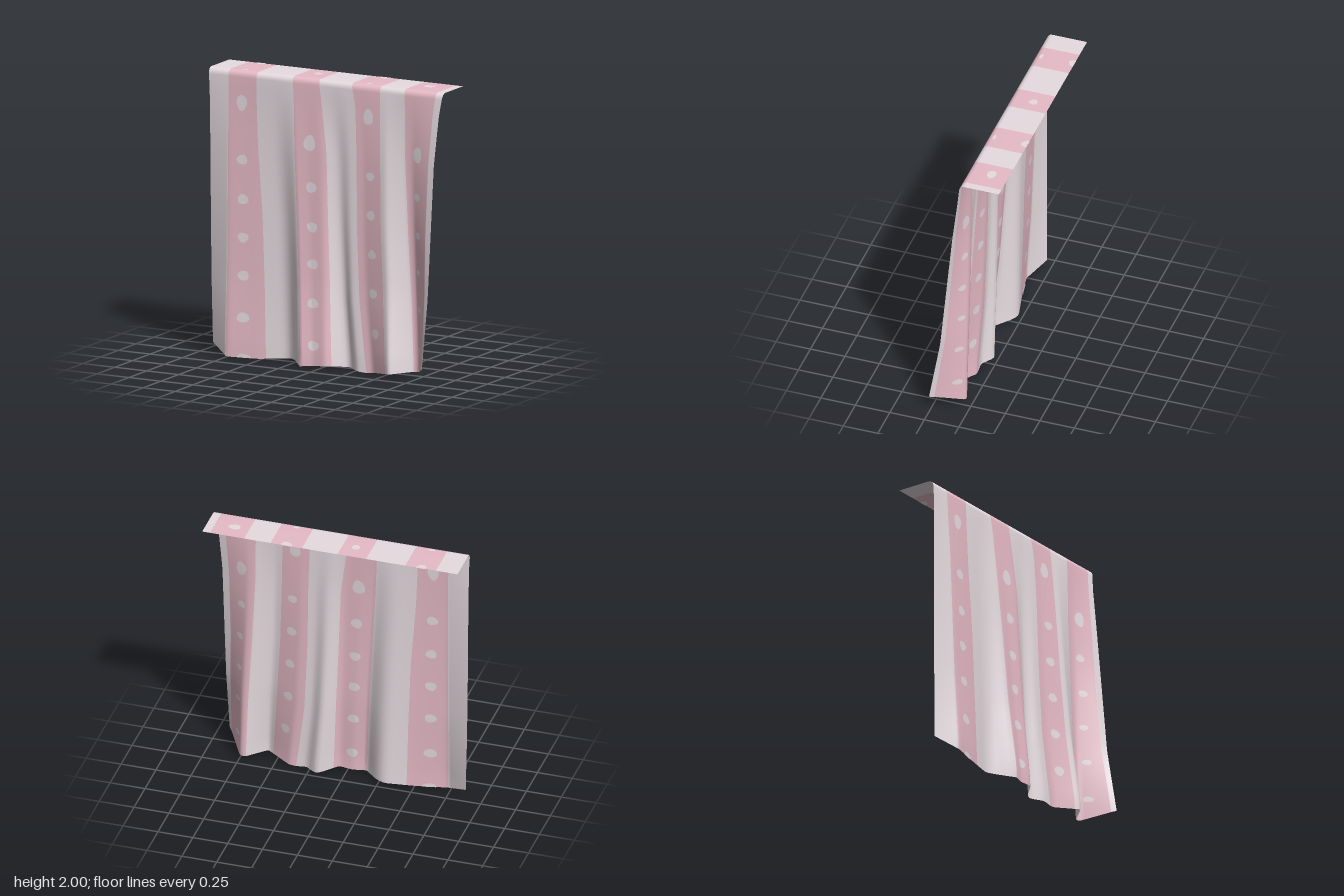
import * as THREE from 'three';

// Piecewise linear lookup; xs ascending
function lerpTable(x, xs, ys) {
  let i = 0;
  while (i < xs.length - 2 && x > xs[i + 1]) i++;
  const t = THREE.MathUtils.clamp((x - xs[i]) / (xs[i + 1] - xs[i]), 0, 1);
  return ys[i] + (ys[i + 1] - ys[i]) * t;
}

// Stripe borders: x of each border at these heights
const LEVELS = [0, 0.5, 1, 1.5, 1.85, 2];
const BORDERS = [
  [-0.885, -0.895, -0.9, -0.903, -0.907, -0.915],
  [-0.735, -0.74, -0.745, -0.75, -0.757, -0.76],
  [-0.45, -0.465, -0.485, -0.525, -0.54, -0.54],
  [-0.13, -0.16, -0.19, -0.225, -0.245, -0.26],
  [0.09, 0.065, 0.04, 0.018, -0.03, -0.055],
  [0.35, 0.285, 0.26, 0.25, 0.235, 0.2],
  [0.54, 0.5, 0.465, 0.445, 0.432, 0.425],
  [0.7, 0.68, 0.65, 0.625, 0.622, 0.615],
  [0.86, 0.845, 0.83, 0.83, 0.845, 0.86],
  [0.88, 0.88, 0.88, 0.88, 0.895, 0.915],
];
const bordersAt = (y) => BORDERS.map((b) => lerpTable(y, LEVELS, b));
const HEM = bordersAt(0);

// Fold depth and hem height along the bottom edge
const FOLD_X = [-0.885, -0.73, -0.5, -0.3, -0.24, -0.13, -0.04, 0.06, 0.16, 0.2, 0.28, 0.4, 0.58, 0.7, 0.74, 0.88];
const FOLD_Z = [0.02, 0.115, 0.07, 0.02, 0.04, 0.158, 0.13, 0.135, 0.035, 0.025, 0.09, 0.08, 0.178, 0.045, 0.04, 0.26];
const HEM_X = [-0.885, -0.73, -0.5, -0.24, -0.13, 0.05, 0.35, 0.58, 0.74, 0.88];
const HEM_Y = [0.08, 0.012, 0.01, 0.03, 0.012, 0.025, 0, 0.03, 0.04, 0.11];
const hemHeight = (xBottom) => lerpTable(xBottom, HEM_X, HEM_Y);

// Depth of the hanging cloth; folds fade out towards the top
function clothZ(xBottom, y) {
  const fade = lerpTable(y, [0.1, 0.58, 1.5, 1.96], [1, 0.64, 0.26, 0]);
  return 0.03 + (lerpTable(xBottom, FOLD_X, FOLD_Z) - 0.03) * fade;
}

// Flat ledge and rounded bend before the drop: [z, y]
const LEDGE = [[-0.26, 2], [-0.13, 2], [-0.01, 2], [0.008, 1.996], [0.02, 1.985], [0.027, 1.972], [0.03, 1.955]];
const DROP_ROWS = 28;
const STEPS = 10;

function clothGeometry() {
  const rows = LEDGE.length + DROP_ROWS;
  const bands = BORDERS.length - 1;
  const columns = bands * STEPS + 1;
  const positions = [];
  for (let r = 0; r < rows; r++) {
    for (let c = 0; c < columns; c++) {
      const band = Math.min(Math.floor(c / STEPS), bands - 1);
      const t = c / STEPS - band;
      const xBottom = THREE.MathUtils.lerp(HEM[band], HEM[band + 1], t);
      let y, z;
      if (r < LEDGE.length) {
        [z, y] = LEDGE[r];
      } else {
        const v = (r - LEDGE.length + 1) / DROP_ROWS;
        y = THREE.MathUtils.lerp(1.955, hemHeight(xBottom), v);
        z = clothZ(xBottom, y);
      }
      const a = lerpTable(y, LEVELS, BORDERS[band]);
      const b = lerpTable(y, LEVELS, BORDERS[band + 1]);
      positions.push(a + (b - a) * t, y, z);
    }
  }
  // One material group per stripe
  const geometry = new THREE.BufferGeometry();
  const index = [];
  for (let band = 0; band < bands; band++) {
    const start = index.length;
    for (let c = band * STEPS; c < (band + 1) * STEPS; c++) {
      for (let r = 0; r < rows - 1; r++) {
        const i = r * columns + c;
        const below = i + columns;
        index.push(i, below, i + 1, i + 1, below, below + 1);
      }
    }
    geometry.addGroup(start, index.length - start, band % 2);
  }
  geometry.setAttribute('position', new THREE.Float32BufferAttribute(positions, 3));
  geometry.setIndex(index);
  geometry.computeVertexNormals();
  return geometry;
}

// Slightly irregular disc in the xy plane, with rings so it can follow folds
function spotGeometry(x, y, rx, ry) {
  const g = new THREE.RingGeometry(0.0001, 1, 16, 4);
  const p = g.attributes.position;
  for (let i = 0; i < p.count; i++) {
    const angle = Math.atan2(p.getY(i), p.getX(i));
    const wobble = 1 + 0.06 * Math.sin(3 * angle + x * 9 + y * 7);
    p.setXY(i, x + p.getX(i) * rx * wobble, y + p.getY(i) * ry * wobble);
  }
  return g;
}

// Spot laid on the hanging cloth
function hangingSpot(x, y, rx, ry, offset) {
  const g = spotGeometry(x, y, rx, ry);
  const p = g.attributes.position;
  for (let i = 0; i < p.count; i++) {
    const xBottom = lerpTable(p.getX(i), bordersAt(p.getY(i)), HEM);
    const py = Math.max(p.getY(i), hemHeight(xBottom));
    p.setXYZ(i, p.getX(i), py, clothZ(xBottom, py) + offset);
  }
  g.computeVertexNormals();
  return g;
}

// Spot laid on the ledge, cut off at its back edge
function ledgeSpot(x, z, rx, rz, offset) {
  const g = spotGeometry(x, -z, rx, rz);
  const p = g.attributes.position;
  for (let i = 0; i < p.count; i++) {
    p.setXYZ(i, p.getX(i), 2 + offset, Math.max(-p.getY(i), -0.26));
  }
  g.computeVertexNormals();
  return g;
}

// x, y, half width, half height
const HANGING_SPOTS = [
  [-0.65, 1.78, 0.04, 0.055], [-0.64, 1.385, 0.04, 0.035], [-0.63, 1.11, 0.04, 0.035], [-0.625, 0.845, 0.04, 0.035],
  [-0.62, 0.58, 0.042, 0.034], [-0.615, 0.29, 0.046, 0.035], [-0.605, 0.012, 0.05, 0.028],
  [-0.11, 1.555, 0.045, 0.056], [-0.09, 1.25, 0.04, 0.038], [-0.075, 0.975, 0.04, 0.035], [-0.065, 0.72, 0.04, 0.035],
  [-0.055, 0.45, 0.042, 0.034], [-0.04, 0.16, 0.04, 0.035],
  [0.34, 1.78, 0.04, 0.055], [0.365, 1.37, 0.036, 0.03], [0.375, 1.1, 0.037, 0.033], [0.39, 0.83, 0.036, 0.032],
  [0.405, 0.56, 0.036, 0.034], [0.43, 0.285, 0.034, 0.035],
  [0.73, 1.555, 0.038, 0.055], [0.73, 1.26, 0.029, 0.028], [0.745, 0.995, 0.028, 0.025], [0.75, 0.74, 0.024, 0.021],
  [0.765, 0.48, 0.024, 0.02], [0.77, 0.2, 0.022, 0.022],
];
// x, z, half width, half depth
const LEDGE_SPOTS = [
  [-0.15, -0.14, 0.029, 0.03], [0.72, -0.14, 0.043, 0.032],
  [-0.655, -0.26, 0.035, 0.042], [0.315, -0.26, 0.04, 0.045],
  [-0.655, -0.02, 0.025, 0.012], [0.315, -0.02, 0.025, 0.012],
];

export function createModel() {
  const white = new THREE.MeshStandardMaterial({ color: 0xe8dde2, side: THREE.DoubleSide });
  white.name = 'pale cloth';
  const pink = new THREE.MeshStandardMaterial({ color: 0xe9bdc9, side: THREE.DoubleSide });
  pink.name = 'pink cloth';

  const model = new THREE.Group();
  model.name = 'drapedCloth';
  const cloth = new THREE.Mesh(clothGeometry(), [white, pink]);
  cloth.name = 'stripedCloth';
  model.add(cloth);

  // Spots show on both faces of the cloth
  for (const [side, offset] of [['front', 0.004], ['back', -0.004]]) {
    const spots = new THREE.Group();
    spots.name = side + 'Spots';
    const add = (geometry, name) => {
      const mesh = new THREE.Mesh(geometry, white);
      mesh.name = name;
      spots.add(mesh);
    };
    HANGING_SPOTS.forEach((s) => add(hangingSpot(...s, offset), 'hangingSpot'));
    LEDGE_SPOTS.forEach((s) => add(ledgeSpot(...s, offset / 2), 'ledgeSpot'));
    model.add(spots);
  }
  return model;
}
